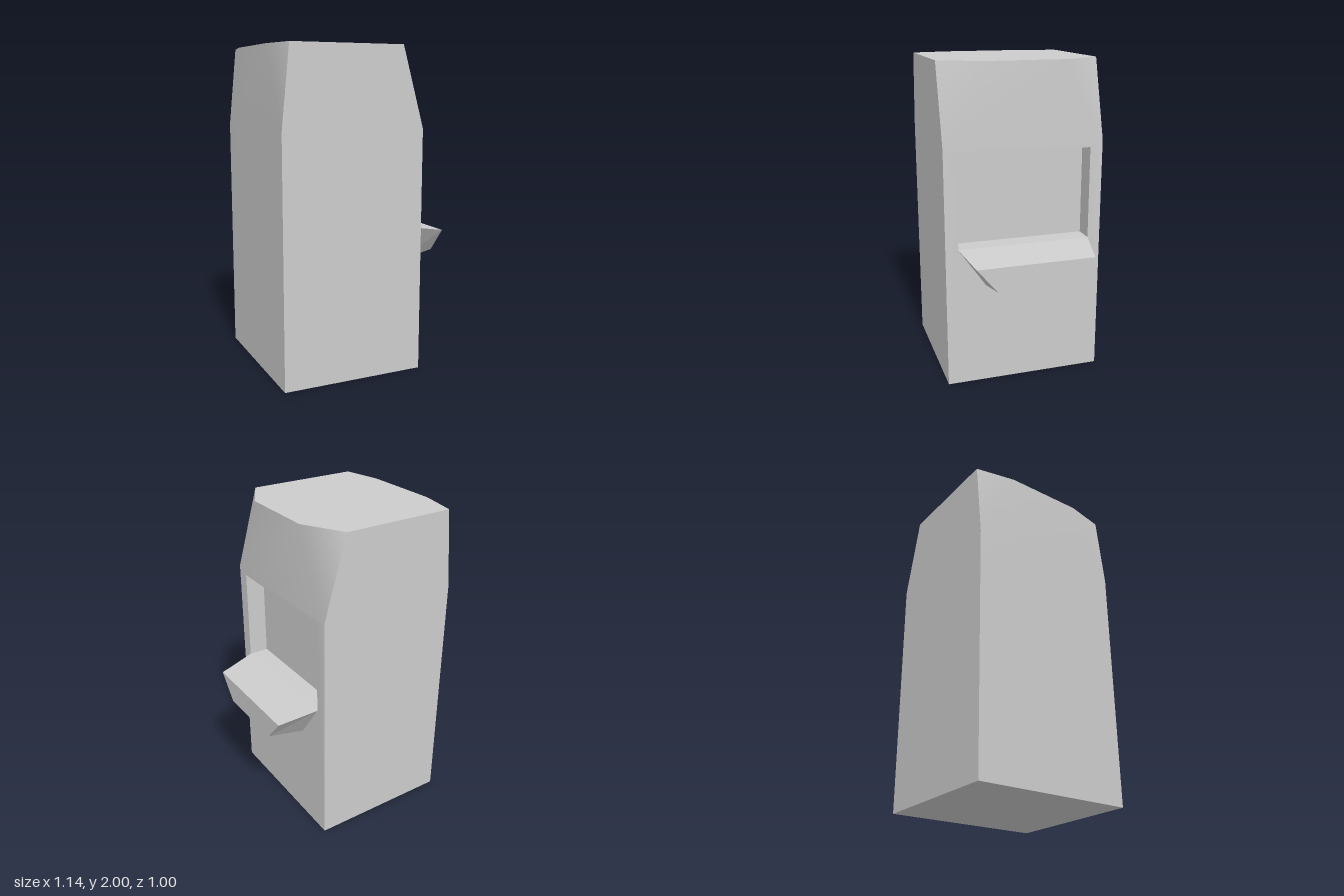
import * as THREE from 'three';

const material = new THREE.MeshStandardMaterial({ color: 0xcccccc, side: THREE.DoubleSide });

// Body dimensions
const R = 0.33, L = -0.57, TOP_R = 0.19, TOP_L = -0.52;
const H = 2, SHOULDER = 1.51, HALF = 0.5, TOP_HALF = 0.25;

// Mesh from corner points and convex polygons (counter-clockwise from outside)
function polyMesh(name, points, polygons, smooth = false) {
  const index = [];
  for (const p of polygons) {
    for (let i = 1; i < p.length - 1; i++) index.push(p[0], p[i], p[i + 1]);
  }
  let geometry = new THREE.BufferGeometry();
  geometry.setAttribute('position', new THREE.Float32BufferAttribute(points.flat(), 3));
  geometry.setIndex(index);
  if (!smooth) geometry = geometry.toNonIndexed();
  geometry.computeVertexNormals();
  const mesh = new THREE.Mesh(geometry, material);
  mesh.name = name;
  return mesh;
}

// Side wall whose upper corners lean inwards; s is the side it faces along x
function sidePanel(name, x, xTop, s, opening) {
  const points = [
    [x, 0, HALF], [x, 0, -HALF], [x, SHOULDER, -HALF], [x, SHOULDER, HALF],
    [xTop, H, HALF], [x, H, TOP_HALF], [x, H, -TOP_HALF], [xTop, H, -HALF],
    ...(opening || []),
  ].map(([px, y, z]) => [px, y, z * s]);
  const lower = opening
    ? [[0, 1, 9, 8], [1, 2, 10, 9], [2, 3, 11, 10], [3, 0, 8, 11]]
    : [[0, 1, 2, 3]];
  return polyMesh(name, points, [...lower, [3, 2, 6, 5], [3, 5, 4], [2, 7, 6]], true);
}

export function createModel() {
  const model = new THREE.Group();
  model.name = 'dispenserCabinet';

  const body = new THREE.Group();
  body.name = 'body';
  model.add(body);

  // Front and back walls
  const outline = [[L, 0], [R, 0], [R, SHOULDER], [TOP_R, H], [TOP_L, H], [L, SHOULDER]];
  body.add(polyMesh('frontWall', outline.map(([x, y]) => [x, y, HALF]), [[0, 1, 2, 3, 4, 5]]));
  body.add(polyMesh('backWall', outline.map(([x, y]) => [x, y, -HALF]), [[5, 4, 3, 2, 1, 0]]));

  // Side walls, one with the opening
  const rim = [[R, 0.89, 0.42], [R, 0.89, -0.42], [R, 1.47, -0.42], [R, 1.47, 0.42]];
  body.add(sidePanel('openSideWall', R, TOP_R, 1, rim));
  body.add(sidePanel('plainSideWall', L, TOP_L, -1));

  // Eight-sided top and rectangular base
  const roof = [
    [TOP_L, HALF], [TOP_R, HALF], [R, TOP_HALF], [R, -TOP_HALF],
    [TOP_R, -HALF], [TOP_L, -HALF], [L, -TOP_HALF], [L, TOP_HALF],
  ];
  body.add(polyMesh('roof', roof.map(([x, z]) => [x, H, z]), [[0, 1, 2, 3, 4, 5, 6, 7]]));
  body.add(polyMesh('base',
    [[L, 0, -HALF], [R, 0, -HALF], [R, 0, HALF], [L, 0, HALF]], [[0, 1, 2, 3]]));

  // Recess behind the opening, its ceiling rising inwards
  const inner = rim.map(([x, y, z]) => [x - 0.125, y > 1 ? 1.6 : y, z]);
  model.add(polyMesh('recess', [...rim, ...inner],
    [[0, 1, 5, 4], [4, 5, 6, 7], [0, 4, 7, 3], [5, 1, 2, 6], [7, 6, 2, 3]]));

  // Tapered tray below the opening
  const section = (x, yTop, zTop, yLow, zLow) =>
    [[x, yTop, zTop], [x, yTop, -zTop], [x, yLow, -zLow], [x, yLow, zLow]];
  model.add(polyMesh('tray',
    [...section(R, 0.89, 0.42, 0.645, 0.25), ...section(0.57, 0.845, 0.37, 0.69, 0.24)],
    [[4, 5, 1, 0], [7, 6, 5, 4], [3, 2, 6, 7], [3, 7, 4, 0], [6, 2, 1, 5]]));

  return model;
}
